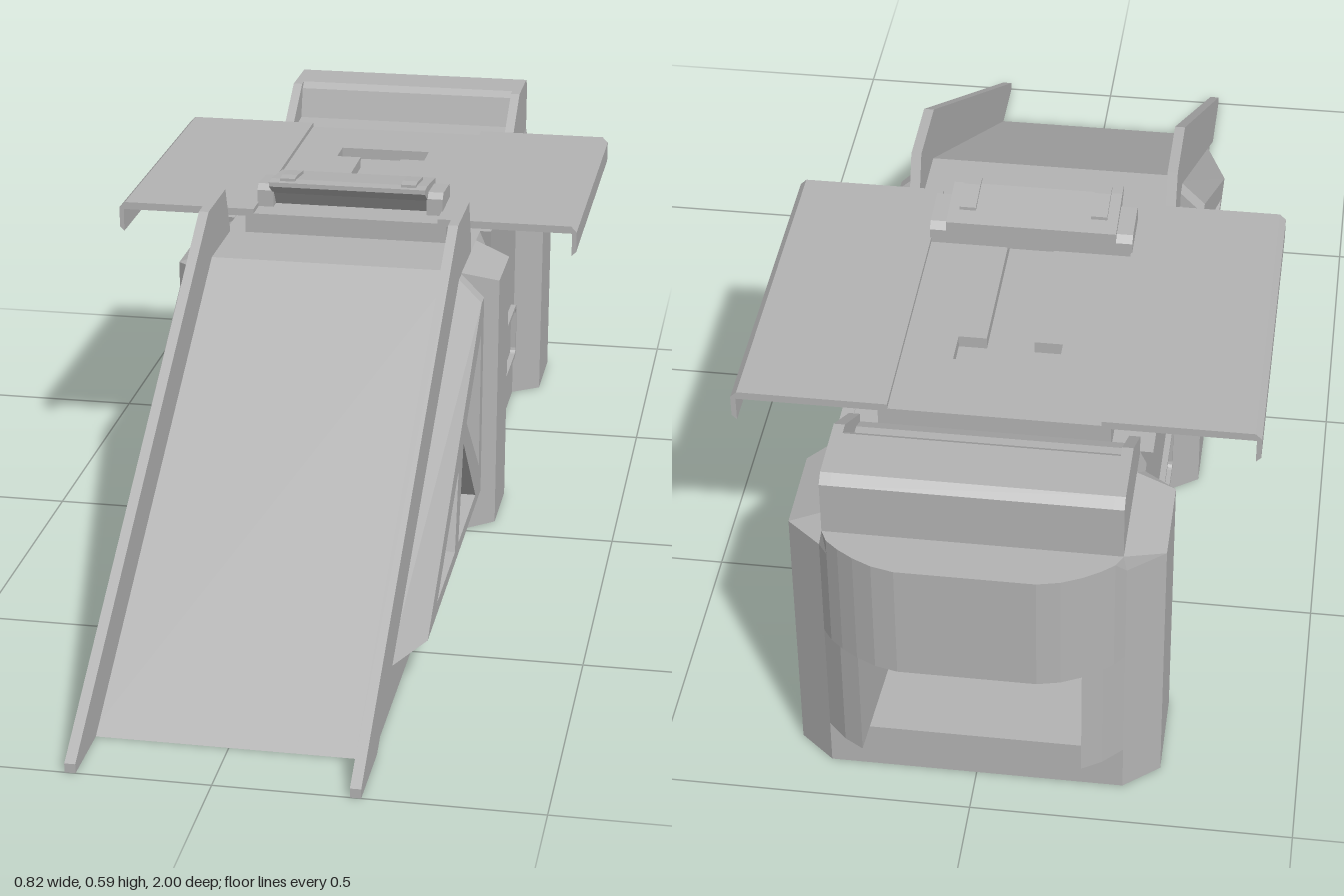
import * as THREE from 'three';

const grey = new THREE.MeshStandardMaterial({ color: 0xb3b3b3 });
grey.name = 'plain grey';

const vecs = (pts) => pts.map(([a, b]) => new THREE.Vector2(a, b));

function shapeOf(pts, holes = []) {
  const shape = new THREE.Shape(vecs(pts));
  holes.forEach((h) => shape.holes.push(new THREE.Path(vecs(h))));
  return shape;
}

const extrude = (shape, depth) => new THREE.ExtrudeGeometry(shape, { depth, bevelEnabled: false });

// Side profile in [z, y], extruded from x0 to x1
function across(pts, x0, x1, holes) {
  return extrude(shapeOf(pts, holes), x1 - x0).rotateY(-Math.PI / 2).translate(x1, 0, 0);
}

// Plan outline in [x, z], extruded from y0 to y1
function upward(pts, y0, y1, holes = []) {
  const flip = (list) => list.map(([x, z]) => [x, -z]);
  return extrude(shapeOf(flip(pts), holes.map(flip)), y1 - y0).rotateX(-Math.PI / 2).translate(0, y0, 0);
}

// Completes a half outline with its mirror image
const symmetric = (half) => [...half, ...half.map(([x, z]) => [-x, z]).reverse()];

// Moves vertices by a rule and refreshes the flat normals
function reshape(geometry, rule) {
  const p = geometry.attributes.position;
  const v = new THREE.Vector3();
  for (let i = 0; i < p.count; i++) {
    rule(v.fromBufferAttribute(p, i));
    p.setXYZ(i, v.x, v.y, v.z);
  }
  geometry.computeVertexNormals();
  return geometry;
}

function roundedRect(z0, z1, y0, y1, r) {
  const pts = [];
  [[z1 - r, y1 - r], [z0 + r, y1 - r], [z0 + r, y0 + r], [z1 - r, y0 + r]].forEach(([cz, cy], k) => {
    for (let i = 0; i <= 3; i++) {
      const a = (k + i / 3) * Math.PI / 2;
      pts.push([cz + r * Math.cos(a), cy + r * Math.sin(a)]);
    }
  });
  return pts;
}

export function createModel() {
  const model = new THREE.Group();
  const add = (name, geometry) => {
    const mesh = new THREE.Mesh(geometry, grey);
    mesh.name = name;
    model.add(mesh);
  };
  // Adds the same profile on both sides, between |x| = x0 and x1
  const addPair = (name, pts, x0, x1, holes) => {
    add(name + 'Left', across(pts, x0, x1, holes));
    add(name + 'Right', across(pts, -x1, -x0, holes));
  };

  // Ramp and its raised rails
  add('ramp', across([[0.88, 0], [0.03, 0.495], [-0.12, 0.495], [-0.12, 0]], -0.22, 0.22));
  addPair('rampRail', [[1, 0], [1, 0.015], [0.05, 0.583], [-0.085, 0.583], [-0.12, 0.5],
    [-0.12, 0.46], [0.03, 0.48], [0.86, 0]], 0.208, 0.225);

  // Truss panels with tapered triangular pockets and sloped borders
  const outer = [[0.62, 0.08], [0.03, 0.44], [0, 0.44], [0, 0.08]];
  const inner = [[0.73, 0.08], [0.03, 0.485], [0, 0.485], [0, 0.08]];
  const pockets = [
    [[0.52, 0.1], [0.29, 0.235], [0.32, 0.1]],
    [[0.28, 0.1], [0.235, 0.262], [0.07, 0.1]],
    [[0.2, 0.33], [0.03, 0.385], [0.03, 0.14]],
  ];
  pockets[2][0] = [0.2, 0.285];
  const moves = outer.map((from, i) => [from, inner[i]]);
  pockets.forEach((tri) => {
    const c = [0, 1].map((k) => (tri[0][k] + tri[1][k] + tri[2][k]) / 3);
    tri.forEach((p) => moves.push([p, p.map((q, k) => c[k] + (q - c[k]) * 0.8)]));
  });
  for (const [name, x] of [['trussLeft', 0.22], ['trussRight', -0.265]]) {
    add(name, reshape(across(outer, x, x + 0.045, pockets), (v) => {
      if (Math.abs(v.x) > 0.23) return;
      const hit = moves.find(([f]) => Math.hypot(f[0] - v.z, f[1] - v.y) < 1e-4);
      if (hit) [v.z, v.y] = hit[1];
    }));
  }

  // Main body in layers: base, layer with rear opening, upper layer, sloped rim
  const flank = [[0.225, 0], [0.285, -0.05], [0.285, -0.185], [0.235, -0.22], [0.235, -0.7],
    [0.285, -0.735], [0.285, -0.88], [0.23, -0.925]];
  const bow = [[0.215, -0.945], [0.195, -0.962], [0.17, -0.978], [0.14, -0.992], [0.105, -1]];
  add('bodyBase', upward(symmetric(flank), 0, 0.08));
  add('bodyMiddle', upward(symmetric([...flank, [0.2, -0.955], [0.17, -0.973], [0.155, -0.72]]), 0.08, 0.28));
  add('bodyUpper', upward(symmetric([...flank, ...bow]), 0.28, 0.455));
  add('bodyRim', reshape(upward(symmetric([...flank, ...bow]), 0.455, 0.482), (v) => {
    if (v.y > 0.47) v.x = THREE.MathUtils.clamp(v.x, -0.225, 0.225);
  }));

  // Rounded frame and clips on each flank
  addPair('sidePanel', roundedRect(-0.663, -0.265, 0.093, 0.202, 0.015), 0.23, 0.245,
    [roundedRect(-0.655, -0.273, 0.101, 0.194, 0.01)]);
  for (const z of [-0.283, -0.64]) {
    addPair('clip', [[z + 0.047, 0.483], [z + 0.028, 0.39], [z - 0.028, 0.39], [z - 0.047, 0.483]], 0.225, 0.245);
  }

  // Top deck with a stepped slot
  const slot = symmetric([[0.038, -0.2], [0.038, -0.5], [0.083, -0.5], [0.083, -0.557]]);
  add('deckBase', upward(symmetric([[0.18, -0.12], [0.18, -0.69]]), 0.48, 0.51));
  add('deck', upward(symmetric([[0.18, -0.12], [0.18, -0.69]]), 0.51, 0.53, [slot]));

  // Side wings with turned-down lips
  for (const s of [1, -1]) {
    const section = [[0.165, 0.525], [0.165, 0.538], [0.4, 0.538], [0.41, 0.528], [0.41, 0.492],
      [0.402, 0.484], [0.402, 0.525]].map(([x, y]) => [s * x, y]);
    add(s > 0 ? 'wingLeft' : 'wingRight', extrude(shapeOf(section), 0.57).translate(0, 0, -0.69));
  }

  // Raised flap on the deck, its end blocks and latches
  add('flap', across([[-0.134, 0.577], [-0.134, 0.585], [-0.16, 0.585], [-0.257, 0.572],
    [-0.257, 0.528], [-0.19, 0.528], [-0.17, 0.555]], -0.14, 0.14));
  addPair('flapEnd', [[-0.165, 0.525], [-0.165, 0.56], [-0.175, 0.57], [-0.245, 0.565], [-0.257, 0.555],
    [-0.257, 0.525]], 0.138, 0.167);
  addPair('latch', [[-0.145, 0.58], [-0.145, 0.59], [-0.17, 0.59], [-0.225, 0.582], [-0.225, 0.57]], 0.095, 0.122);

  // Rear hood with cheeks around a sunken step
  addPair('hoodCheek', [[-0.69, 0.48], [-0.69, 0.515], [-0.8, 0.585], [-0.91, 0.585],
    [-0.925, 0.572], [-0.925, 0.48]], 0.208, 0.225);
  add('hood', across([[-0.69, 0.48], [-0.69, 0.5], [-0.72, 0.515], [-0.79, 0.52], [-0.805, 0.575],
    [-0.82, 0.585], [-0.91, 0.585], [-0.925, 0.572], [-0.925, 0.48]], -0.21, 0.21));

  return model;
}
